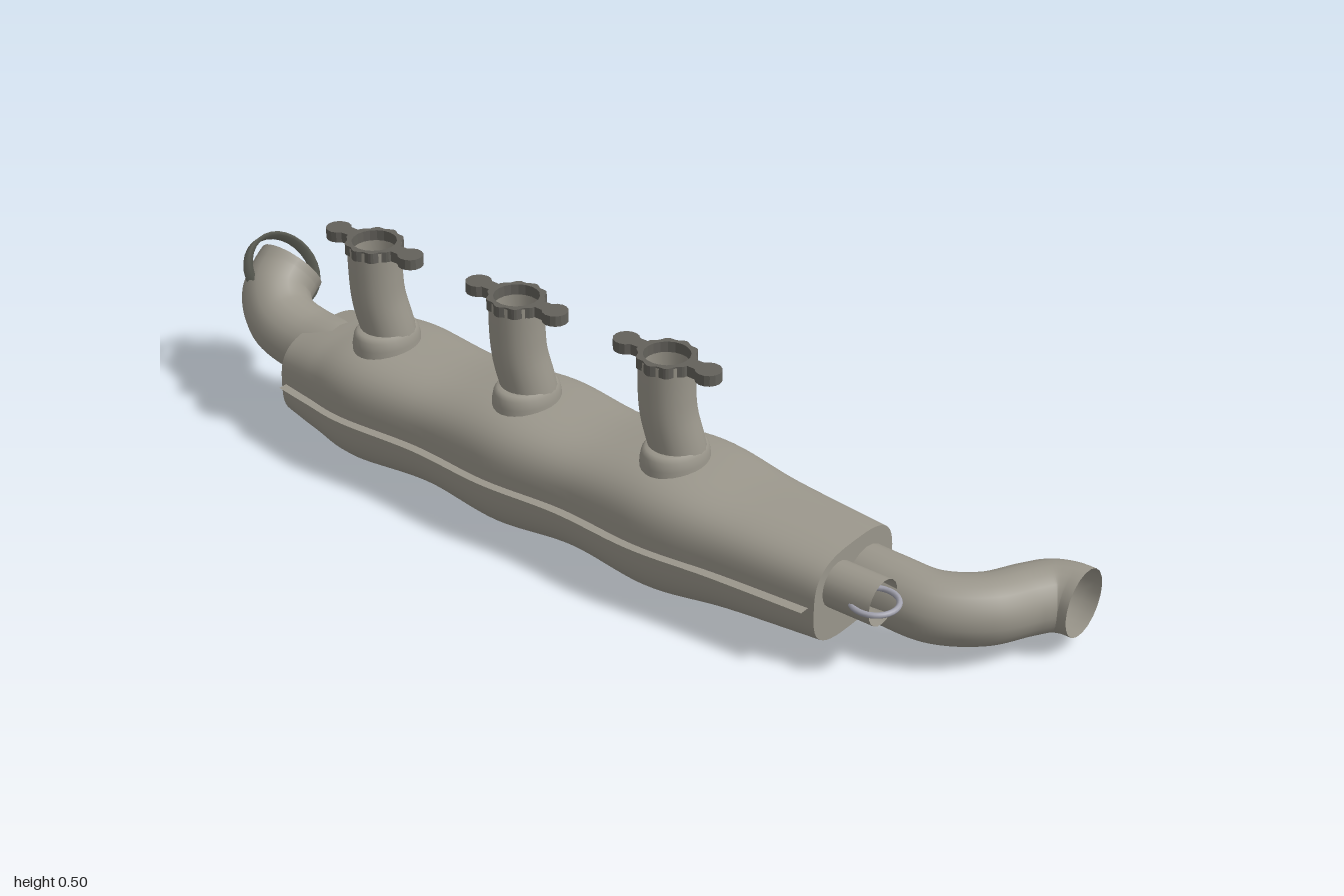
import * as THREE from 'three';

const V = (x, y, z) => new THREE.Vector3(x, y, z);
const paint = (color, flatShading = false) =>
  new THREE.MeshStandardMaterial({ color, flatShading, side: THREE.DoubleSide });
const castMetal = paint(0x9a968b);
const darkMetal = paint(0x63615b, true);
const ringMetal = paint(0x6a6c62);
const wireMetal = paint(0xa4a4b0);

function add(parent, name, geometry, material = castMetal) {
  const mesh = new THREE.Mesh(geometry, material);
  mesh.name = name;
  parent.add(mesh);
  return mesh;
}

// Skin over cross-sections running towards +z, with flat end caps
function loft(rings) {
  const n = rings[0].length, pos = [], idx = [];
  rings.forEach(r => r.forEach(p => pos.push(p.x, p.y, p.z)));
  for (let j = 0; j < rings.length - 1; j++) {
    for (let i = 0; i < n; i++) {
      const a = j * n + i, b = j * n + (i + 1) % n;
      idx.push(a, b, b + n, a, b + n, a + n);
    }
  }
  [rings[0], rings[rings.length - 1]].forEach((r, end) => {
    const start = pos.length / 3;
    r.forEach(p => pos.push(p.x, p.y, p.z));
    for (let i = 1; i < n - 1; i++) {
      if (end) idx.push(start, start + i, start + i + 1);
      else idx.push(start, start + i + 1, start + i);
    }
  });
  const g = new THREE.BufferGeometry();
  g.setAttribute('position', new THREE.Float32BufferAttribute(pos, 3));
  g.setIndex(idx);
  g.computeVertexNormals();
  return g;
}

function pipe(points, radius, segments = 32) {
  return new THREE.TubeGeometry(new THREE.CatmullRomCurve3(points), segments, radius, 20, false);
}

function lathe(profile) {
  return new THREE.LatheGeometry(profile.map(p => new THREE.Vector2(...p)), 28);
}

// Scalloped mounting ring with a bolt ear at each end
function flangeGeometry() {
  const s = new THREE.Shape();
  const half = 0.25, earR = 0.027, earZ = 0.1;
  for (const side of [1, -1]) {
    for (let i = 0; i <= 30; i++) {
      const t = -Math.PI / 2 + half + (Math.PI - 2 * half) * i / 30;
      const r = 0.059 + 0.003 * Math.cos(10 * t);
      const x = side * r * Math.cos(t), y = side * r * Math.sin(t);
      if (side === 1 && i === 0) s.moveTo(x, y); else s.lineTo(x, y);
    }
    for (let i = 0; i <= 12; i++) {
      const t = -0.95 + (Math.PI + 1.9) * i / 12;
      s.lineTo(side * earR * Math.cos(t), side * (earZ + earR * Math.sin(t)));
    }
  }
  s.closePath();
  const hole = new THREE.Path();
  hole.absarc(0, 0, 0.047, 0, Math.PI * 2, true);
  s.holes.push(hole);
  const g = new THREE.ExtrudeGeometry(s, { depth: 0.023, bevelEnabled: false, curveSegments: 10 });
  return g.rotateX(-Math.PI / 2);
}

export function createModel() {
  const model = new THREE.Group();
  model.name = 'exhaustManifold';
  const cx = -0.07, cy = 0.137;

  // Swelling of the chamber along its length
  const swell = new THREE.CatmullRomCurve3([
    [-0.75, 0], [-0.66, 0.45], [-0.54, 0.92], [-0.35, 0.6], [-0.15, 1], [0.04, 0.62],
    [0.23, 0.98], [0.43, 0.4], [0.64, 0],
  ].map(([z, s]) => V(s, 0, z)));
  const stations = swell.getPoints(64);

  // Main chamber with rounded-square sections
  const power = v => Math.sign(v) * Math.abs(v) ** 0.66;
  add(model, 'chamber', loft(stations.map(({ x: s, z }) => Array.from({ length: 48 }, (_, i) => {
    const t = i / 48 * Math.PI * 2;
    return V(cx + (0.131 + 0.034 * s) * power(Math.cos(t)), cy + (0.097 + 0.037 * s) * power(Math.sin(t)), z);
  }))));

  // Thin sheet seam standing out on both sides
  const edge = side => stations.map(({ x: s, z }) =>
    new THREE.Vector2(cx + side * (0.154 + 0.03 * s), z * 0.98));
  const seam = new THREE.ShapeGeometry(new THREE.Shape([...edge(1), ...edge(-1).reverse()]));
  add(model, 'sideSeam', seam.rotateX(Math.PI / 2)).position.y = 0.142;

  // Three inlet ports on top, each in a rounded saddle collar
  const flange = flangeGeometry();
  const collarShape = lathe([[0.08, 0.235], [0.079, 0.275], [0.075, 0.293], [0.067, 0.302], [0.054, 0.302]]);
  [0.205, -0.175, -0.56].forEach((z, i) => {
    const port = new THREE.Group();
    port.name = 'inletPort' + (i + 1);
    port.position.set(-0.095, 0, z);
    add(port, 'inletPipe', pipe([V(0.017, 0.22, 0.03), V(0.012, 0.29, 0.02), V(0.002, 0.37, 0.004),
      V(0, 0.43, 0), V(0, 0.495, 0)], 0.057, 20));
    const collar = add(port, 'inletCollar', collarShape);
    collar.position.set(0.007, 0, 0.017);
    collar.scale.z = 0.82;
    add(port, 'inletFlange', flange, darkMetal).position.y = 0.475;
    model.add(port);
  });

  // S-bent outlet at the front, its mouth facing forward
  add(model, 'frontOutletPipe', pipe([V(-0.03, 0.128, 0.6), V(-0.03, 0.125, 0.7), V(-0.018, 0.118, 0.79),
    V(0.04, 0.113, 0.865), V(0.125, 0.108, 0.908), V(0.168, 0.107, 0.937), V(0.183, 0.107, 0.97),
    V(0.184, 0.107, 1)], 0.071, 56));

  // Short stub beside it with a loop in its mouth
  add(model, 'frontStubPipe', pipe([V(-0.126, 0.164, 0.6), V(-0.126, 0.164, 0.745)], 0.048, 4));
  const loop = add(model, 'stubLoop', new THREE.TorusGeometry(0.047, 0.006, 8, 32), wireMetal);
  loop.rotation.x = Math.PI / 2;
  loop.position.set(-0.132, 0.164, 0.73);

  // Elbow at the rear, its mouth turned up and to the left
  add(model, 'rearElbow', pipe([V(-0.08, 0.174, -0.69), V(-0.08, 0.178, -0.78), V(-0.075, 0.202, -0.865),
    V(-0.045, 0.237, -0.909), V(-0.005, 0.262, -0.921), V(0.018, 0.277, -0.922)], 0.076, 36));
  const ring = add(model, 'rearRing',
    lathe([[0.081, -0.013], [0.09, -0.013], [0.09, 0.013], [0.081, 0.013], [0.081, -0.013]]), ringMetal);
  ring.rotation.x = Math.atan2(0.14, 0.12);
  ring.position.set(-0.01, 0.272, -0.925);

  return model;
}
